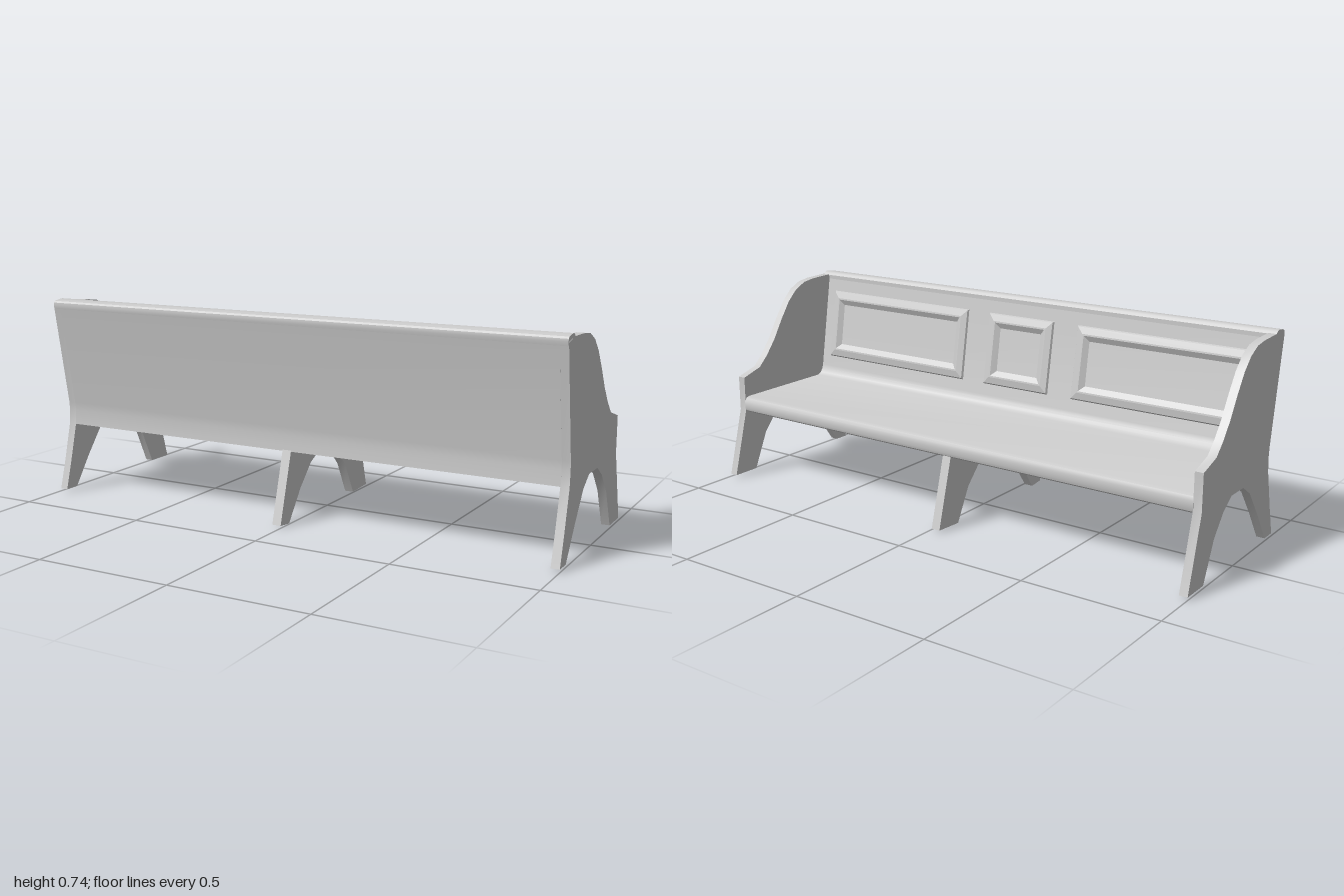
import * as THREE from 'three';
import { toCreasedNormals } from 'three/addons/utils/BufferGeometryUtils.js';

const material = new THREE.MeshStandardMaterial({ color: 0xcccccc });

// Extrudes a [z, y] outline along x from x0 to x1
function slab(name, outline, x0, x1) {
  const shape = new THREE.Shape(outline.map(([z, y]) => new THREE.Vector2(z, y)));
  const geo = new THREE.ExtrudeGeometry(shape, { depth: x1 - x0, bevelEnabled: false });
  geo.rotateY(-Math.PI / 2).translate(x1, 0, 0);
  const mesh = new THREE.Mesh(toCreasedNormals(geo, 0.5), material);
  mesh.name = name;
  return mesh;
}

// Point on the sloping inner face of the backrest, raised by h
const LEAN = Math.atan2(0.065, 0.39);
function onBack(x, v, h) {
  const c = Math.cos(LEAN), s = Math.sin(LEAN);
  return [x, 0.34 + v * c + h * s, 0.19 + v * s - h * c];
}

// Mitred moulding: rectangular rings of [inset, height] joined in turn
function moulding(x0, x1, v0, v1) {
  const profile = [[0, -0.002], [0.006, 0.008], [0.03, 0.014], [0.036, 0.014], [0.06, -0.002]];
  const rings = profile.map(([i, h]) => [
    onBack(x0 + i, v0 + i, h), onBack(x1 - i, v0 + i, h),
    onBack(x1 - i, v1 - i, h), onBack(x0 + i, v1 - i, h),
  ]);
  const pos = [];
  for (let r = 0; r < rings.length - 1; r++) {
    const a = rings[r], b = rings[r + 1];
    for (let i = 0; i < 4; i++) {
      const j = (i + 1) % 4;
      for (const p of [a[i], b[i], b[j], a[i], b[j], a[j]]) pos.push(...p);
    }
  }
  const geo = new THREE.BufferGeometry();
  geo.setAttribute('position', new THREE.Float32BufferAttribute(pos, 3));
  geo.computeVertexNormals();
  const mesh = new THREE.Mesh(geo, material);
  mesh.name = 'panelMoulding';
  return mesh;
}

export function createModel() {
  const bench = new THREE.Group();
  bench.name = 'bench';

  // End panels with arched feet
  const end = [
    [0.316, 0.72], [0.25, 0.732], [0.2, 0.731], [0.15, 0.729], [0.1, 0.722], [0.05, 0.698],
    [0.005, 0.655], [-0.04, 0.59], [-0.085, 0.517], [-0.13, 0.46], [-0.172, 0.42],
    [-0.258, 0.394], [-0.258, 0.262], [-0.328, 0.01], [-0.22, 0.01], [-0.157, 0.147],
    [-0.095, 0.22], [-0.04, 0.256], [0.05, 0.256], [0.107, 0.22], [0.185, 0.12],
    [0.262, 0.01], [0.32, 0.01], [0.29, 0.115], [0.254, 0.255], [0.25, 0.31], [0.252, 0.34],
  ];
  bench.add(slab('leftEndPanel', end, 0.97, 1), slab('rightEndPanel', end, -1, -0.97));

  // Seat and backrest in one section, with a cove where they meet
  const body = [
    [-0.25, 0.256], [0.254, 0.256], [0.25, 0.31], [0.252, 0.34], [0.317, 0.722],
    [0.254, 0.732], [0.193, 0.36], [0.188, 0.342], [0.178, 0.328], [0.16, 0.319],
    [-0.24, 0.316], [-0.253, 0.311], [-0.26, 0.298], [-0.26, 0.272], [-0.257, 0.262],
  ];
  bench.add(slab('seatAndBack', body, -0.971, 0.971));

  // Rounded top rail
  const rail = [
    [0.315, 0.708], [0.318, 0.722], [0.317, 0.731], [0.311, 0.737], [0.295, 0.74],
    [0.27, 0.743], [0.262, 0.741], [0.256, 0.736], [0.25, 0.73], [0.25, 0.715],
  ];
  bench.add(slab('topRail', rail, -0.999, 0.999));

  // Arched middle support
  const support = [
    [0.254, 0.26], [0.328, 0.006], [0.27, 0], [0.19, 0.11], [0.115, 0.188], [0.06, 0.217],
    [0.015, 0.224], [-0.03, 0.217], [-0.087, 0.188], [-0.15, 0.122], [-0.213, 0],
    [-0.323, 0.006], [-0.254, 0.26],
  ];
  bench.add(slab('middleSupport', support, -0.038, -0.004));

  // Framed panels on the backrest
  for (const [x0, x1] of [[-0.935, -0.245], [-0.147, 0.145], [0.24, 0.93]]) {
    bench.add(moulding(x0, x1, 0.06, 0.335));
  }
  return bench;
}
